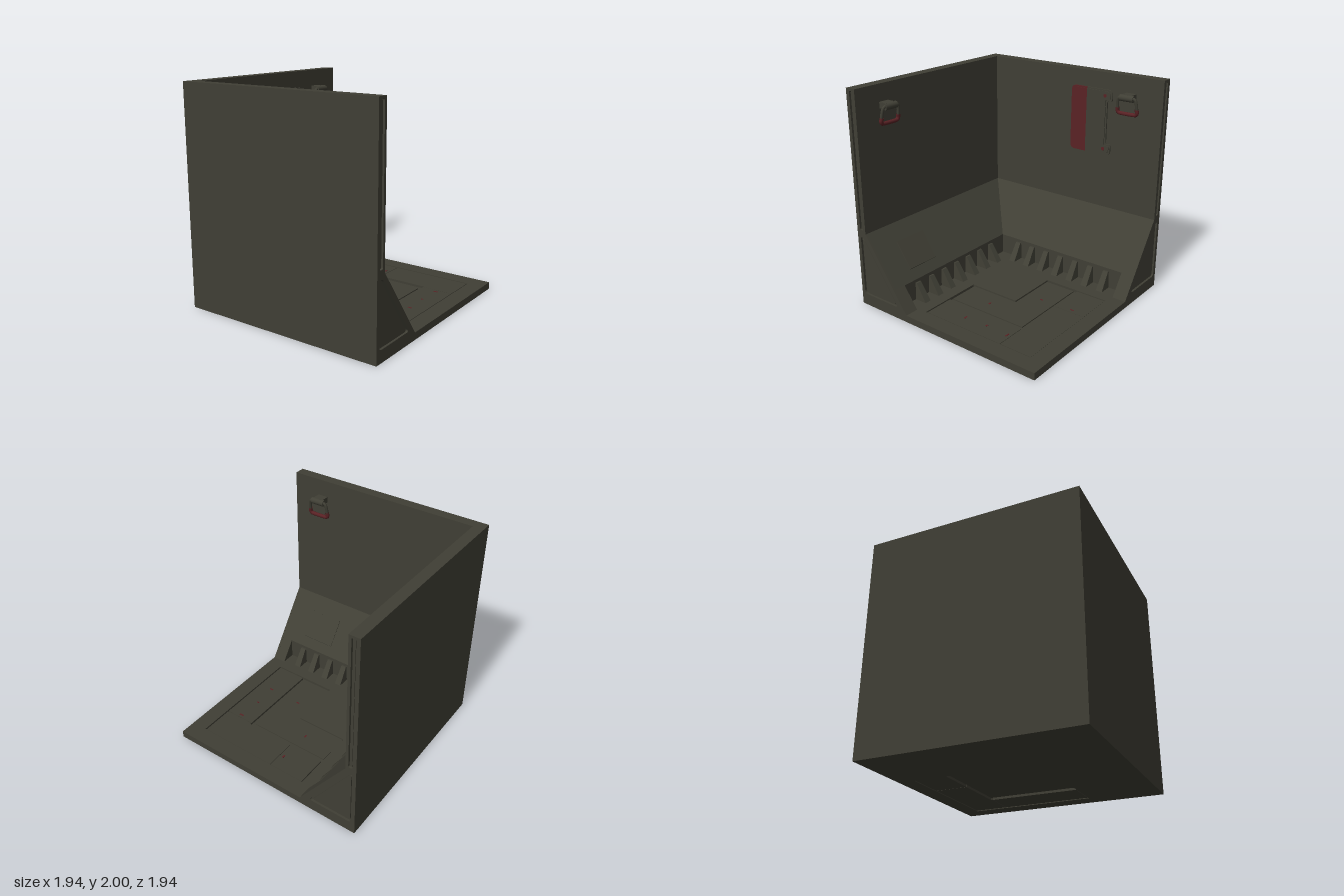
import * as THREE from 'three';

const paint = (name, color) => Object.assign(new THREE.MeshStandardMaterial({ color }), { name });

const shapeOf = (pts) => new THREE.Shape(pts.map(([a, b]) => new THREE.Vector2(a, b)));

// Extrude an XY outline between two z planes
function prism(pts, z0, z1, holes = []) {
  const s = shapeOf(pts);
  s.holes = holes.map(shapeOf);
  return new THREE.ExtrudeGeometry(s, { depth: z1 - z0, bevelEnabled: false, curveSegments: 6 }).translate(0, 0, z0);
}

// Mirror across the diagonal plane x = z, keeping faces outward
function swapXZ(geo) {
  const g = geo.index ? geo.toNonIndexed() : geo.clone();
  for (const key of ['position', 'normal']) {
    const src = g.attributes[key].array.slice();
    const a = g.attributes[key];
    for (let i = 0; i < a.count; i++) {
      const j = (i % 3 === 0 ? i : i % 3 === 1 ? i + 1 : i - 1) * 3;
      a.setXYZ(i, src[j + 2], src[j + 1], src[j]);
    }
  }
  return g;
}

function box(x0, x1, y0, y1, z0, z1) {
  return new THREE.BoxGeometry(x1 - x0, y1 - y0, z1 - z0)
    .translate((x0 + x1) / 2, (y0 + y1) / 2, (z0 + z1) / 2);
}

const rect = (x0, x1, y0, y1) => [[x0, y0], [x1, y0], [x1, y1], [x0, y1]];

// Replace each corner of a polygon by a short arc
function rounded(pts, r) {
  const out = [];
  pts.forEach((p, i) => {
    const c = new THREE.Vector2(...p);
    const a = new THREE.Vector2(...pts[(i + pts.length - 1) % pts.length]).sub(c).setLength(p[2] ?? r).add(c);
    const b = new THREE.Vector2(...pts[(i + 1) % pts.length]).sub(c).setLength(p[2] ?? r).add(c);
    if ((p[2] ?? r) === 0) out.push([c.x, c.y]);
    else new THREE.QuadraticBezierCurve(a, c, b).getPoints(5).forEach((q) => out.push([q.x, q.y]));
  });
  return out;
}

export function createModel() {
  const model = new THREE.Group();
  model.name = 'cornerRoomSection';
  const metal = paint('darkOliveMetal', 0x403f35);
  const red = paint('darkRed', 0x5a2225);
  red.side = metal.side = THREE.DoubleSide;

  const add = (name, geo, mat = metal) => {
    const m = new THREE.Mesh(geo, mat);
    m.name = name;
    model.add(m);
  };
  // One part on the left-hand wall and its twin on the back wall
  const addBoth = (name, geo, mat = metal) => {
    add('side' + name, geo, mat);
    add('back' + name, swapXZ(geo), mat);
  };

  const E = 0.97, W = -0.87, F = 0.065;

  // Walls with sloped skirting, mitred at the corner
  const wall = prism([[-E, F], [-0.55, F], [-0.55, 0.26], [W, 0.71], [W, 2], [-E, 2]], -E, 0.95);
  const p = wall.attributes.position;
  for (let i = 0; i < p.count; i++) if (p.getZ(i) < 0) p.setZ(i, p.getX(i));
  wall.computeVertexNormals();
  addBoth('Wall', wall);

  // Solid foot closing the free end of the skirting
  addBoth('SkirtingFoot', prism([[-0.55, F], [-0.41, F], [-0.55, 0.26]], 0.84, 0.95));

  // End caps with a recessed slot and a recessed triangular panel
  const slot = rounded(rect(-0.935, -0.895, 0.74, 1.98), 0.015);
  const tri = rounded([[-0.935, 0.11], [-0.51, 0.11], [-0.9, 0.67], [-0.935, 0.67, 0.015]], 0.035);
  addBoth('EndCap', prism([[-E, F], [-0.41, F], [W, 0.71], [W, 2], [-E, 2]], 0.95, E, [slot, tri]));
  addBoth('EndPanel', prism(rounded([[-0.92, 0.123], [-0.54, 0.123], [-0.905, 0.648], [-0.92, 0.648, 0.007]], 0.025), 0.95, 0.96));
  addBoth('SlotPanel', prism(rect(-0.925, -0.905, 0.75, 1.97), 0.95, 0.96));

  // Wedge ribs along the foot of the skirting, a little wider at the base
  for (let i = 0; i < 7; i++) {
    const rib = prism([[-0.55, F], [-0.43, F], [-0.535, 0.23], [-0.55, 0.23]], -0.027, 0.027);
    const q = rib.attributes.position;
    for (let k = 0; k < q.count; k++) if (q.getY(k) < 0.1) q.setZ(k, q.getZ(k) * 1.2);
    rib.computeVertexNormals();
    addBoth('Rib', rib.translate(0, 0, -0.34 + i * 0.17));
  }

  // Hooks: bracket, pin and a hanging ring with a red grip
  const hz = 0.66;
  addBoth('HookBracket', box(W, -0.79, 1.79, 1.845, hz - 0.05, hz + 0.05));
  addBoth('HookPin', new THREE.CylinderGeometry(0.03, 0.03, 0.135, 16).rotateX(Math.PI / 2).translate(-0.792, 1.815, hz));
  const ring = (pts, r) => new THREE.TubeGeometry(new THREE.CatmullRomCurve3(
    pts.map(([z, y]) => new THREE.Vector3(-0.785 - (1.82 - y) * 0.17, y, hz + z))), 32, r, 8, false);
  addBoth('HookRing', ring([[-0.098, 1.7], [-0.092, 1.78], [-0.083, 1.81], [-0.06, 1.822],
    [0.06, 1.822], [0.083, 1.81], [0.092, 1.78], [0.098, 1.7]], 0.014));
  addBoth('HookGrip', ring([[-0.094, 1.725], [-0.097, 1.69], [-0.085, 1.673], [-0.065, 1.67],
    [0.065, 1.67], [0.085, 1.673], [0.097, 1.69], [0.094, 1.725]], 0.018), red);

  // Wall plate: red left part, notched right part, each with a stepped rim
  for (const [inset, z1] of [[0, -0.856], [0.014, -0.848]]) {
    const y0 = 1.23 + inset, y1 = 1.845 - inset, x0 = 0.04 + inset, x1 = 0.475 - inset, xn = 0.425 - inset;
    add('plateRedPart', prism(rounded([[x0, y0], [0.21, y0, 0], [0.21, y1, 0], [x0, y1]], 0.05), W, z1), red);
    add('plateNotchedPart', prism(rounded([[0.21, y0, 0], [x1, y0, 0.05], [x1, 1.335 - inset], [xn, 1.335 - inset],
      [xn, 1.74 + inset], [x1, 1.74 + inset], [x1, y1, 0.05], [0.21, y1, 0]], 0.015), W, z1));
  }
  for (const y of [1.29, 1.79]) {
    add('plateRivet', new THREE.CylinderGeometry(0.016, 0.016, 0.006, 12).rotateX(Math.PI / 2).translate(0.405, y, -0.847), red);
  }

  // Floor frame with an opening, thin core sheet and stepped floor panels
  const flat = (pts, y0, y1, holes) => prism(pts, 0, y1 - y0, holes).rotateX(Math.PI / 2).translate(0, y1, 0);
  add('floorFrame', flat(rect(-E, E, -E, E), 0, F, [rect(-0.32, 0.82, -0.32, 0.82)]));
  add('floorCore', box(-0.32, 0.82, 0.025, 0.04, -0.32, 0.82));
  add('floorPanelSquare', box(-0.32, 0.18, 0, F, -0.32, 0.18));
  add('floorPanelAngle', flat([[0.18, -0.31], [0.48, -0.31], [0.48, 0.48], [-0.31, 0.48], [-0.31, 0.18], [0.18, 0.18]], 0.015, 0.05));
  add('floorPanelSmall', box(0.52, 0.815, 0.004, 0.061, -0.31, 0.038));
  add('floorPanelLong', flat([[0.52, 0.042], [0.815, 0.042], [0.815, 0.81], [0.507, 0.81], [0.507, 0.52], [0.52, 0.52]], 0.004, 0.061));
  add('floorPanelFront', box(-0.31, 0.503, 0.004, 0.061, 0.52, 0.81));

  // Tiny red floor marks
  for (const [x, z, w, d, y] of [[0.34, 0, 0.03, 0.015, 0.05], [0.67, 0, 0.035, 0.015, 0.061], [0.01, 0.34, 0.015, 0.035, 0.05],
    [0.01, 0.67, 0.015, 0.04, 0.061], [0.24, 0.66, 0.015, 0.025, 0.061], [0.47, 0.67, 0.015, 0.045, 0.061]]) {
    add('floorMark', box(x - w / 2, x + w / 2, y - 0.001, y + 0.001, z - d / 2, z + d / 2), red);
  }

  // Thin cover plate on the side slope
  add('slopePlate', prism([[-0.77, 0.569], [-0.61, 0.344], [-0.608, 0.349], [-0.764, 0.574]], 0.38, 0.705));

  return model;
}
